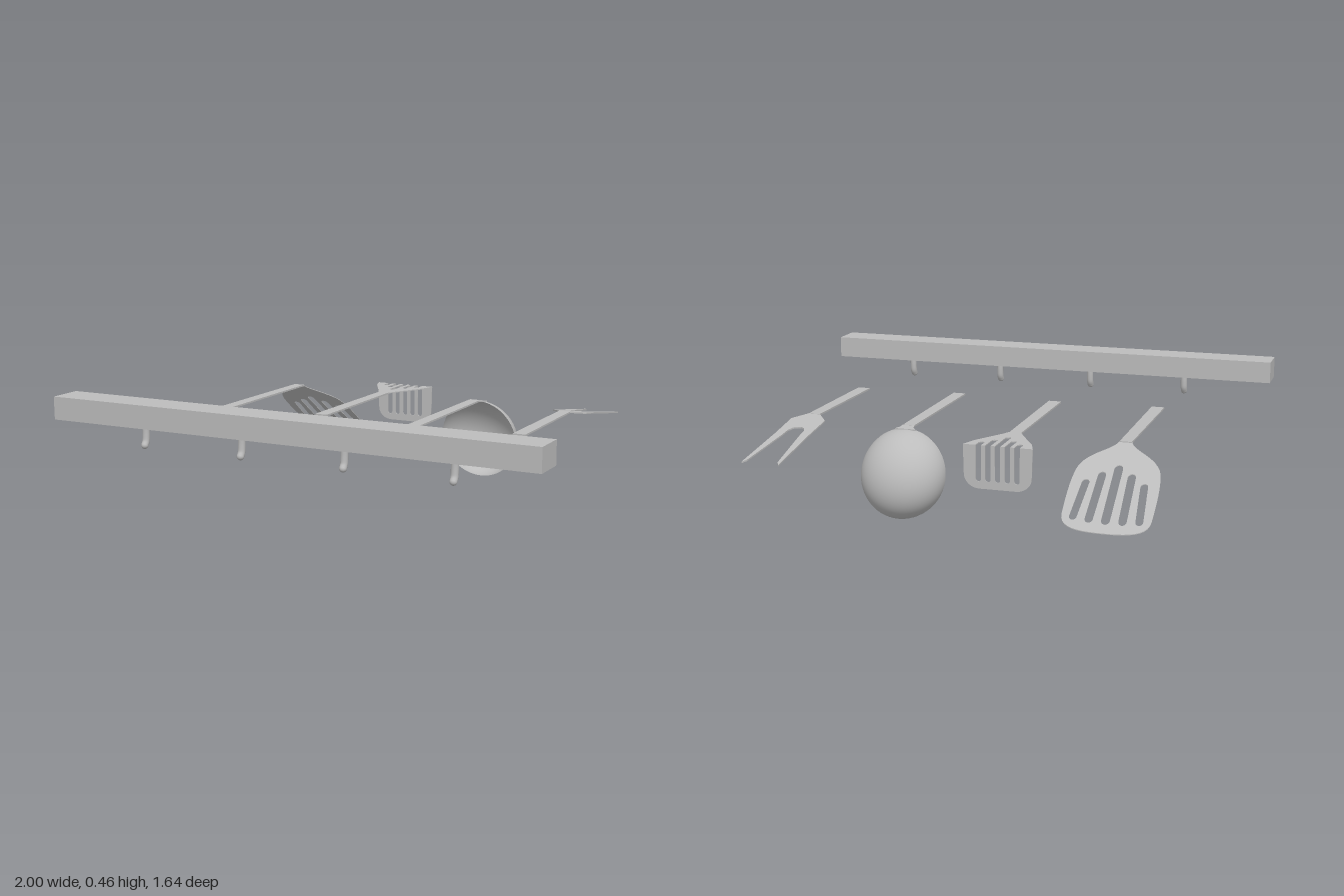
import * as THREE from 'three';

const steel = new THREE.MeshStandardMaterial({ color: 0xbcbcbc, side: THREE.DoubleSide });
steel.name = 'steel';
const TOP = 0.348; // height of the utensils' upper face

function add(parent, name, geometry) {
  const mesh = new THREE.Mesh(geometry, steel);
  mesh.name = name;
  parent.add(mesh);
  return mesh;
}

function group(parent, name, x) {
  const g = new THREE.Group();
  g.name = name;
  g.position.x = x;
  parent.add(g);
  return g;
}

// Thin horizontal plate; shape y runs towards -z, sloping down beyond bendAt
function plate(shape, thickness, bendAt = 0, slope = 0) {
  const geo = new THREE.ExtrudeGeometry(shape, { depth: thickness, bevelEnabled: false, curveSegments: 10 });
  geo.rotateX(-Math.PI / 2);
  const p = geo.attributes.position;
  for (let i = 0; i < p.count; i++) {
    p.setY(i, p.getY(i) + TOP - thickness - slope * (-p.getZ(i) - bendAt));
  }
  geo.computeVertexNormals();
  return geo;
}

const polygon = (pts) => new THREE.Shape(pts.map(([x, y]) => new THREE.Vector2(x, y)));

// Handle strip from z = front back to z = -back
function handle(parent, front, back) {
  add(parent, 'handle', plate(polygon([[-0.026, -front], [0.026, -front], [0.023, back], [-0.023, back]]), 0.007));
}

// Rounded slot hole
function slot(x0, y0, x1, y1, r) {
  const path = new THREE.Path();
  path.moveTo(x0 - r, y0 + r);
  path.absarc(x0, y0 + r, r, Math.PI, 2 * Math.PI, false);
  path.lineTo(x1 + r, y1 - r);
  path.absarc(x1, y1 - r, r, 0, Math.PI, false);
  path.closePath();
  return path;
}

// Points of round-bottomed notches cut into a straight edge, going right to left
function notches(edgeY, depths) {
  const pts = [], r = 0.0105;
  depths.forEach((end, i) => {
    const x = (2 - i) * 0.037, dir = Math.sign(end - edgeY);
    pts.push([x + r, edgeY]);
    for (let k = 0; k <= 6; k++) {
      const a = (k / 6) * Math.PI;
      pts.push([x + r * Math.cos(a), end - dir * r + dir * r * Math.sin(a)]);
    }
    pts.push([x - r, edgeY]);
  });
  return pts;
}

function buildSpatula(root) {
  const g = group(root, 'slottedSpatula', -0.615);
  handle(g, 0.19, 0.40);
  const s = new THREE.Shape();
  s.moveTo(-0.023, 0.395);
  s.lineTo(0.023, 0.395);
  s.bezierCurveTo(0.035, 0.43, 0.12, 0.445, 0.15, 0.50);
  s.bezierCurveTo(0.17, 0.545, 0.165, 0.64, 0.163, 0.69);
  s.bezierCurveTo(0.16, 0.74, 0.09, 0.747, 0, 0.747);
  s.bezierCurveTo(-0.09, 0.747, -0.16, 0.74, -0.163, 0.69);
  s.bezierCurveTo(-0.165, 0.64, -0.17, 0.545, -0.15, 0.50);
  s.bezierCurveTo(-0.12, 0.445, -0.035, 0.43, -0.023, 0.395);
  s.holes.push(slot(0, 0.49, 0, 0.715, 0.016));
  for (const side of [-1, 1]) {
    s.holes.push(slot(side * 0.055, 0.52, side * 0.061, 0.713, 0.015));
    s.holes.push(slot(side * 0.108, 0.553, side * 0.12, 0.708, 0.014));
  }
  add(g, 'slottedBlade', plate(s, 0.003, 0.395, 0.7));
}

function buildMasher(root) {
  const g = group(root, 'slottedMasher', -0.188);
  handle(g, 0.165, 0.40);
  // fan-shaped neck with slots open to the bend
  add(g, 'fanNeck', plate(polygon([
    [-0.023, 0.39], [0.023, 0.39], [0.04, 0.425], [0.112, 0.55], [0.133, 0.612],
    ...notches(0.612, [0.56, 0.52, 0.47, 0.52, 0.56]),
    [-0.133, 0.612], [-0.112, 0.55], [-0.04, 0.425],
  ]), 0.004));
  // downturned face with the slots continuing
  const corner = (side) => {
    const pts = [];
    for (let k = 0; k <= 6; k++) {
      const a = (k / 6) * Math.PI / 2;
      pts.push([side * (0.07 + 0.06 * Math.sin(a)), 0.235 - 0.052 * Math.cos(a)]);
    }
    return side > 0 ? pts : pts.reverse();
  };
  const face = new THREE.ExtrudeGeometry(polygon([
    ...corner(-1), ...corner(1), [0.133, TOP],
    ...notches(TOP, [0.21, 0.21, 0.21, 0.21, 0.21]), [-0.133, TOP],
  ].filter((p, i, all) => i === 0 || p !== all[i - 1])), { depth: 0.004, bevelEnabled: false });
  add(g, 'slottedFace', face).position.z = -0.612;
}

function buildLadle(root) {
  const g = group(root, 'ladle', 0.238);
  handle(g, 0.19, 0.405);
  add(g, 'neck', plate(polygon([
    [-0.023, 0.40], [0.023, 0.40], [0.028, 0.425], [0.042, 0.442], [-0.042, 0.442], [-0.028, 0.425],
  ]), 0.006, 0.40, 0.15));
  // half sphere, tilted and sagging a little towards its lower side
  const up = new THREE.Vector3(0, 0.986, 0.164);
  const out = new THREE.Vector3(0, 0.164, -0.986).addScaledVector(up, -0.2).multiplyScalar(0.148);
  const bowl = new THREE.SphereGeometry(1, 56, 20, 0, Math.PI * 2, 0, Math.PI / 2);
  bowl.applyMatrix4(new THREE.Matrix4()
    .makeBasis(new THREE.Vector3(0.169, 0, 0), out, up.multiplyScalar(0.172))
    .setPosition(0, 0.171, -0.457));
  add(g, 'bowl', bowl);
}

function buildFork(root) {
  const g = group(root, 'carvingFork', 0.664);
  handle(g, 0.165, 0.345);
  const right = [[0.023, 0.34], [0.072, 0.40], [0.070, 0.55], [0.075, 0.822], [0.062, 0.80], [0.036, 0.56], [0.033, 0.51], [0.022, 0.485], [0.008, 0.477]];
  const left = right.map(([x, y]) => [-x, y]).reverse();
  add(g, 'prongs', plate(polygon([...right, ...left]), 0.006, 0.34, 0.165));
}

function buildRack(root) {
  const g = group(root, 'rack', 0);
  add(g, 'bar', new THREE.BoxGeometry(2, 0.09, 0.135)).position.set(0, 0.415, 0.752);
  const path = new THREE.CatmullRomCurve3([[0.38, 0.758], [0.335, 0.758], [0.31, 0.761], [0.296, 0.769]]
    .map(([y, z]) => new THREE.Vector3(0, y, z)));
  for (const x of [-0.615, -0.188, 0.238, 0.664]) {
    const hook = group(g, 'hook', x);
    add(hook, 'hookStem', new THREE.TubeGeometry(path, 12, 0.014, 14));
    add(hook, 'hookTip', new THREE.SphereGeometry(0.014, 14, 10)).position.set(0, 0.296, 0.769);
  }
}

export function createModel() {
  const root = new THREE.Group();
  root.name = 'utensilRack';
  buildRack(root);
  buildSpatula(root);
  buildMasher(root);
  buildLadle(root);
  buildFork(root);
  return root;
}
